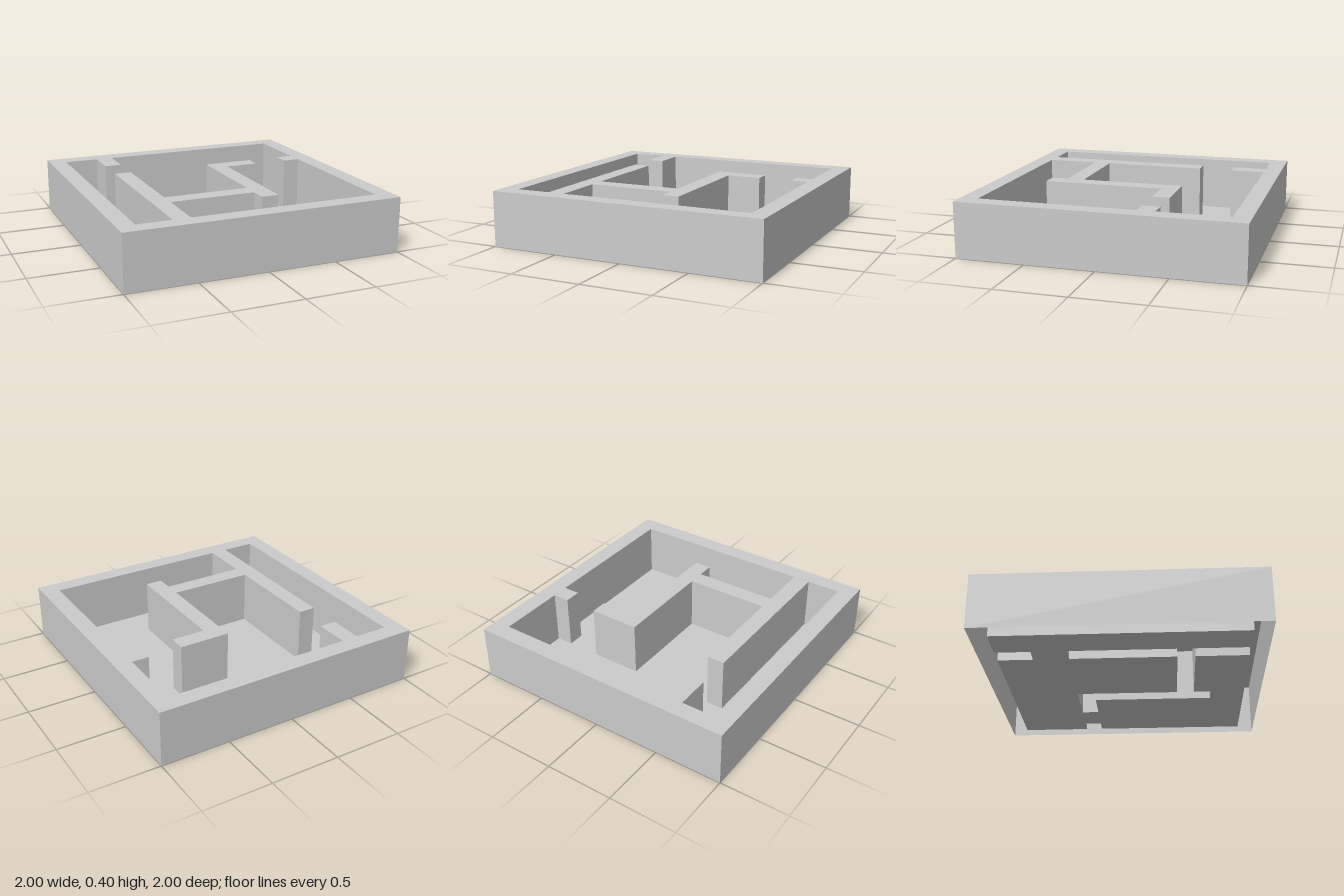
import * as THREE from 'three';

const H = 0.4; // wall height

// Plan outlines as [x, z], both running the same way round
const outer = [[-1, -1], [-1, 1], [1, 1], [1, -1]];
const rooms = [
  [-0.875, -0.875], [-0.875, 0.875], [-0.625, 0.875], [-0.625, -0.375], // corridor
  [-0.5, -0.375], [-0.5, 0.375], [0.125, 0.375], [0.125, -0.375],       // inner room
  [0.5, -0.375], [0.5, -0.25], [0.25, -0.25], [0.25, 0.625],            // angled partition
  [0.125, 0.625], [0.125, 0.5], [-0.5, 0.5], [-0.5, 0.875],             // front room
  [0.875, 0.875], [0.875, -0.25], [0.75, -0.25], [0.75, -0.375],        // side stub
  [0.875, -0.375], [0.875, -0.875], [-0.5, -0.875], [-0.5, -0.625],     // back stub
  [-0.625, -0.625], [-0.625, -0.875],
];

const toPoints = (loop) => loop.map(([x, z]) => new THREE.Vector2(x, -z));

// Flat horizontal sheet at height y, with optional hole
function sheet(loop, y, hole) {
  const shape = new THREE.Shape(toPoints(loop));
  if (hole) shape.holes.push(new THREE.Path(toPoints(hole)));
  return new THREE.ShapeGeometry(shape).rotateX(-Math.PI / 2).translate(0, y, 0);
}

// Vertical faces along a closed loop, one quad per edge
function curtain(loop) {
  const pos = [];
  loop.forEach(([ax, az], i) => {
    const [bx, bz] = loop[(i + 1) % loop.length];
    pos.push(ax, 0, az, bx, 0, bz, bx, H, bz, ax, 0, az, bx, H, bz, ax, H, az);
  });
  const geo = new THREE.BufferGeometry();
  geo.setAttribute('position', new THREE.Float32BufferAttribute(pos, 3));
  geo.computeVertexNormals();
  return geo;
}

export function createModel() {
  const group = new THREE.Group();
  group.name = 'floorPlan';
  const material = new THREE.MeshStandardMaterial({
    color: 0xcccccc, flatShading: true, side: THREE.DoubleSide,
  });
  const add = (name, geometry) => {
    const mesh = new THREE.Mesh(geometry, material);
    mesh.name = name;
    group.add(mesh);
  };

  // The walls are a hollow shell, open underneath
  add('outerWalls', curtain(outer));
  add('innerWalls', curtain([...rooms].reverse()));
  add('wallTops', sheet(outer, H, rooms));
  add('floor', sheet(rooms, 0));
  return group;
}
